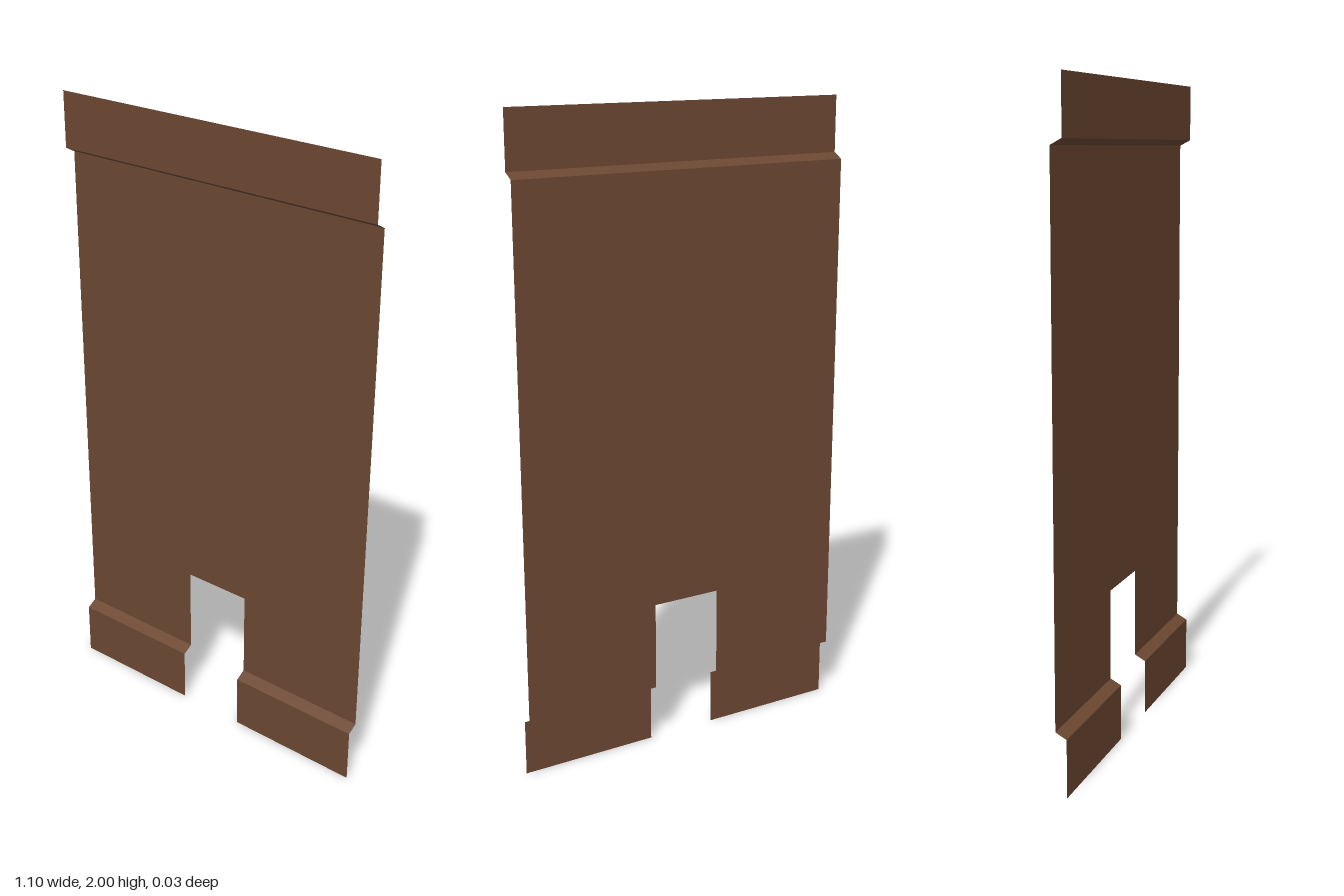
import * as THREE from 'three';

const W = 0.552;   // half width of the sheet
const GAP = 0.112; // half width of the notch
const Z = 0.017;   // half depth of the folds

// Folded strip: sweeps a [y, z] profile (bottom to top) between x0 and x1
function foldedStrip(name, x0, x1, profile, material) {
  const pos = [];
  for (let i = 0; i < profile.length - 1; i++) {
    const [ya, za] = profile[i], [yb, zb] = profile[i + 1];
    pos.push(x0, ya, za, x1, ya, za, x1, yb, zb);
    pos.push(x0, ya, za, x1, yb, zb, x0, yb, zb);
  }
  const geo = new THREE.BufferGeometry();
  geo.setAttribute('position', new THREE.Float32BufferAttribute(pos, 3));
  geo.computeVertexNormals(); // unshared corners keep the folds crisp
  const mesh = new THREE.Mesh(geo, material);
  mesh.name = name;
  return mesh;
}

export function createModel() {
  const group = new THREE.Group();
  group.name = 'foldedPanel';
  const brown = new THREE.MeshStandardMaterial({ color: 0x6b4731, side: THREE.DoubleSide });
  brown.name = 'brown';

  // Main panel with the forward lip along its top
  group.add(foldedStrip('mainPanel', -W, W, [[0.475, -Z], [1.81, -Z], [1.828, Z], [2, Z]], brown));

  // Legs beside the notch, each with a forward lip at the foot
  const leg = [[0, Z], [0.175, Z], [0.193, -Z], [0.475, -Z]];
  group.add(foldedStrip('rightLeg', -W, -GAP, leg, brown));
  group.add(foldedStrip('leftLeg', GAP, W, leg, brown));

  return group;
}
